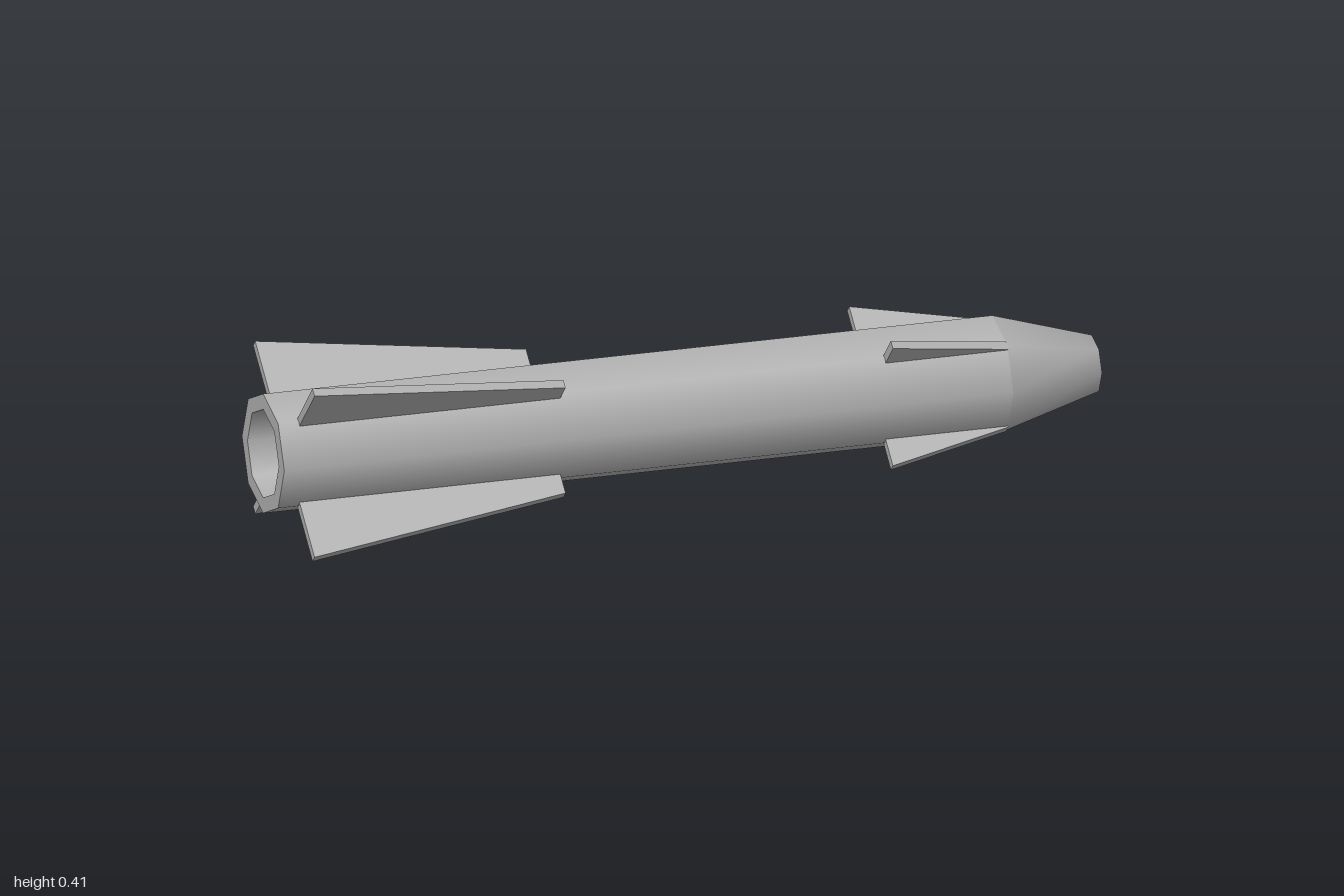
import * as THREE from 'three';

const AXIS_Y = 0.207;

export function createModel() {
  const model = new THREE.Group();
  const grey = new THREE.MeshStandardMaterial({ color: 0xb2b2b2 });
  grey.name = 'metalGrey';

  const rocket = new THREE.Group();
  rocket.name = 'rocket';
  rocket.position.y = AXIS_Y;
  model.add(rocket);

  // Eight-sided surface of revolution, laid along +x
  function turned(name, points) {
    const geo = new THREE.LatheGeometry(points.map(([r, x]) => new THREE.Vector2(r, x)), 8);
    geo.rotateZ(-Math.PI / 2);
    const mesh = new THREE.Mesh(geo, grey);
    mesh.name = name;
    rocket.add(mesh);
  }

  turned('body', [[0.142, -1], [0.142, 0.76]]);
  turned('noseCone', [[0.142, 0.76], [0.07, 1], [0, 1]]);
  // Rear rim and hollow exhaust
  turned('rearRim', [[0.105, -1], [0.142, -1]]);
  turned('exhaustWall', [[0.1, -0.88], [0.105, -1]]);
  turned('exhaustFloor', [[0, -0.88], [0.1, -0.88]]);

  // Flat fin: outline in (x, distance from axis), copied to the four diagonals
  function fins(name, outline) {
    const thickness = 0.02;
    const shape = new THREE.Shape(outline.map(([x, r]) => new THREE.Vector2(x, r)));
    const geo = new THREE.ExtrudeGeometry(shape, { depth: thickness, bevelEnabled: false });
    geo.translate(0, 0, -thickness / 2);
    for (let i = 0; i < 4; i++) {
      const fin = new THREE.Mesh(geo, grey);
      fin.name = name;
      fin.rotation.x = Math.PI / 4 + (i * Math.PI) / 2;
      rocket.add(fin);
    }
  }

  fins('tailFin', [[-0.95, 0.125], [-0.32, 0.125], [-0.32, 0.187], [-0.95, 0.281]]);
  fins('noseFin', [[0.465, 0.125], [0.76, 0.125], [0.76, 0.141], [0.465, 0.207]]);

  return model;
}
